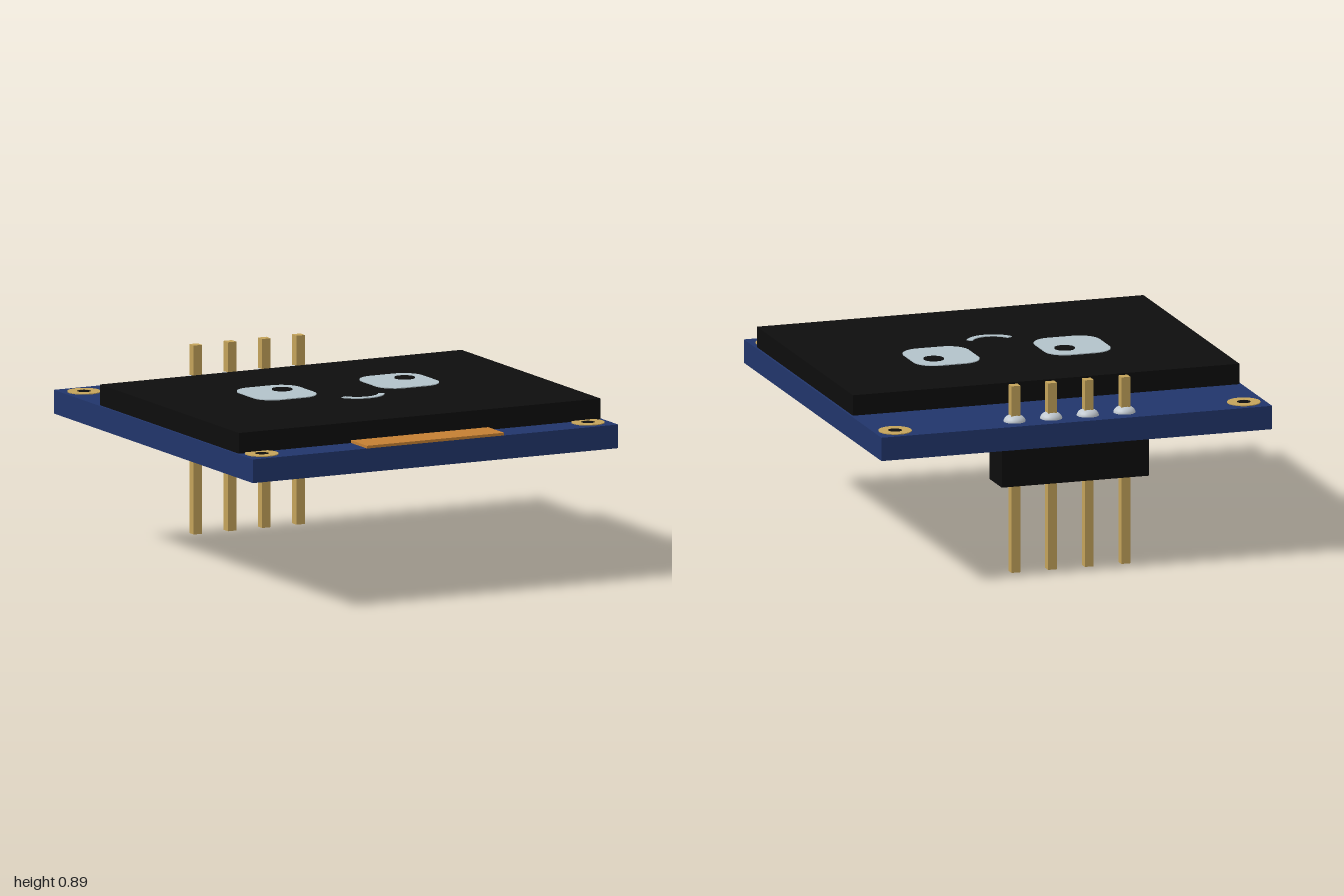
import * as THREE from 'three';

const mat = (name, color) => {
  const m = new THREE.MeshStandardMaterial({ color });
  m.name = name;
  return m;
};

export function createModel() {
  const blue = mat('boardBlue', 0x21356b);
  const black = mat('black', 0x0d0d0d);
  const gold = mat('gold', 0xc4a35a);
  const orange = mat('flexOrange', 0xc47f33);
  const pale = mat('displayPale', 0xb2c2ca);
  const silver = mat('solderSilver', 0xc0c8d0);

  const model = new THREE.Group();
  model.name = 'displayModule';

  const add = (name, geometry, material, x = 0, y = 0, z = 0) => {
    const mesh = new THREE.Mesh(geometry, material);
    mesh.name = name;
    mesh.position.set(x, y, z);
    model.add(mesh);
    return mesh;
  };
  // Box given by its lower and upper limits on each axis
  const box = (name, material, [x0, x1], [y0, y1], [z0, z1]) =>
    add(name, new THREE.BoxGeometry(x1 - x0, y1 - y0, z1 - z0), material,
      (x0 + x1) / 2, (y0 + y1) / 2, (z0 + z1) / 2);
  // Thin plate lying flat; shape y points towards -z
  const plate = (name, shape, material, x, y, z, depth = 0.004) => {
    const g = new THREE.ExtrudeGeometry(shape, { depth, bevelEnabled: false, curveSegments: 16 });
    g.rotateX(-Math.PI / 2);
    return add(name, g, material, x, y, z);
  };

  const boardTop = 0.722, screenTop = 0.82;

  // Board, screen, ribbon and pin housing
  box('circuitBoard', blue, [-0.96, 0.96], [0.61, boardTop], [-1, 1]);
  box('screen', black, [-0.95, 0.95], [boardTop, screenTop], [-0.555, 0.84]);
  box('flexRibbon', orange, [-0.36, 0.36], [boardTop, 0.735], [0.84, 1]);
  box('pinHousing', black, [-0.362, 0.362], [0.43, 0.61], [-0.98, -0.805]);

  // Header pins with solder domes
  for (const x of [-0.27, -0.09, 0.09, 0.27]) {
    box('pin', gold, [x - 0.022, x + 0.022], [0, 0.895], [-0.915, -0.871]);
    const dome = add('solderJoint',
      new THREE.SphereGeometry(0.052, 20, 8, 0, Math.PI * 2, 0, Math.PI / 2),
      silver, x, boardTop, -0.893);
    dome.scale.y = 0.65;
  }

  // Corner mounting pads with dark hole faces
  const ring = new THREE.Shape().absarc(0, 0, 0.078, 0, Math.PI * 2);
  ring.holes.push(new THREE.Path().absarc(0, 0, 0.033, 0, Math.PI * 2, true));
  const hole = new THREE.Shape().absarc(0, 0, 0.033, 0, Math.PI * 2);
  for (const x of [-0.857, 0.857]) {
    for (const z of [-0.893, 0.893]) {
      plate('mountingPad', ring, gold, x, boardTop, z);
      plate('mountingHole', hole, black, x, boardTop, z, 0.003);
    }
  }

  // Eyes: rounded squares with off-centre pupils
  const w = 0.16, h = 0.17, r = 0.1;
  const eye = new THREE.Shape();
  eye.absarc(w - r, h - r, r, 0, Math.PI / 2);
  eye.absarc(-w + r, h - r, r, Math.PI / 2, Math.PI);
  eye.absarc(-w + r, -h + r, r, Math.PI, Math.PI * 1.5);
  eye.absarc(w - r, -h + r, r, Math.PI * 1.5, Math.PI * 2);
  eye.closePath();
  const pupil = new THREE.Shape().absarc(0, 0, 0.048, 0, Math.PI * 2);
  for (const x of [-0.322, 0.322]) {
    plate('eye', eye, pale, x, screenTop, 0.02);
    plate('pupil', pupil, black, x + 0.053, screenTop, -0.028, 0.008);
  }

  // Smile: a band of an arc
  const a0 = Math.PI * 1.5 - 1.08, a1 = Math.PI * 1.5 + 1.08;
  const smile = new THREE.Shape();
  smile.absarc(0, 0, 0.128, a0, a1);
  smile.absarc(0, 0, 0.098, a1, a0, true);
  smile.closePath();
  plate('smile', smile, pale, 0, screenTop, 0.212);

  return model;
}
